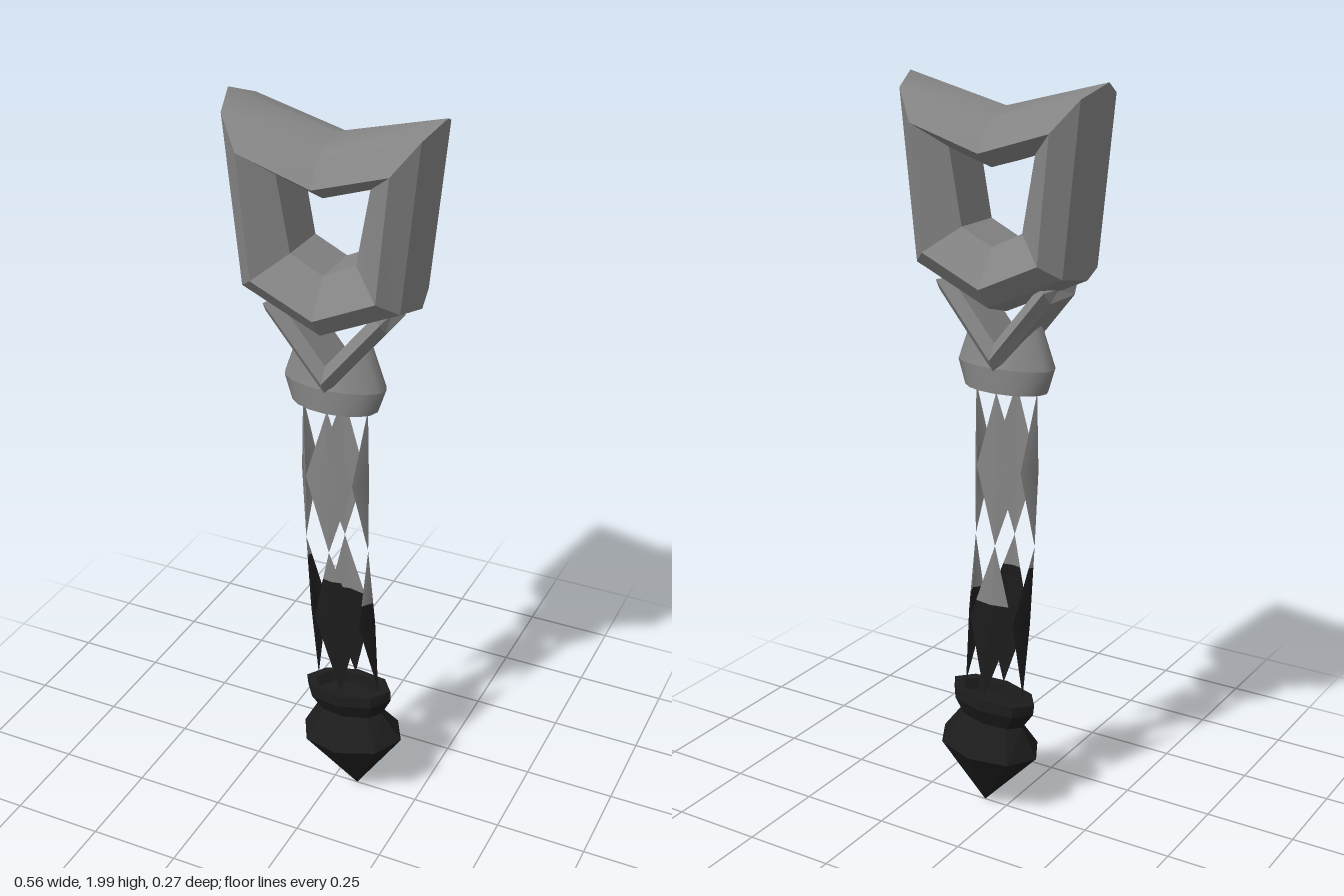
import * as THREE from 'three';
import { mergeGeometries } from 'three/addons/utils/BufferGeometryUtils.js';

const steel = new THREE.MeshStandardMaterial({ color: 0x858585, side: THREE.DoubleSide });
steel.name = 'steel grey';
const black = new THREE.MeshStandardMaterial({ color: 0x1c1c1c, side: THREE.DoubleSide });
black.name = 'charcoal black';

// Surface through rows of [x, y, z] points; smooth inside one patch, or faceted
function patch(rows, { closed = false, flat = false } = {}) {
  const n = rows[0].length, index = [];
  for (let j = 0; j < rows.length - 1; j++) {
    for (let k = 0; k < (closed ? n : n - 1); k++) {
      const a = j * n + k, b = j * n + (k + 1) % n;
      index.push(a, b, b + n, a, b + n, a + n);
    }
  }
  let g = new THREE.BufferGeometry();
  g.setAttribute('position', new THREE.Float32BufferAttribute(rows.flat(2), 3));
  g.setIndex(index);
  g = flat ? g.toNonIndexed() : g;
  g.computeVertexNormals();
  return flat ? g : g.toNonIndexed();
}

// Elliptical ring of points; y may depend on x
function ring(rx, rz, y, n) {
  return Array.from({ length: n }, (_, i) => {
    const t = (i / n) * Math.PI * 2, x = rx * Math.cos(t);
    return [x, typeof y === 'function' ? y(x) : y, -rz * Math.sin(t)];
  });
}

function add(parent, name, geometry, material) {
  const mesh = new THREE.Mesh(geometry, material);
  mesh.name = name;
  parent.add(mesh);
  return mesh;
}

// Head: six-sided bevelled frame around a window
function frameGeometry() {
  // corner x, corner y, top notch y, lower corner x, lower corner y, bottom point y
  const contour = ([tx, ty, ny, bx, by, py], z) => [
    [tx, ty, z], [0, ny, z], [-tx, ty, z], [-bx, by, z], [0, py, z], [bx, by, z]];
  const crest = [0.28, 2, 1.93, 0.23, 1.525, 1.42];
  const shoulder = [0.253, 1.967, 1.9, 0.21, 1.54, 1.445];
  const rim = [0.195, 1.89, 1.83, 0.165, 1.575, 1.5];
  const inner = [0.122, 1.83, 1.79, 0.087, 1.637, 1.595];
  const S = z => contour(shoulder, z), R = z => contour(rim, z), I = z => contour(inner, z);
  const bands = [
    [R(-0.133), S(-0.088)],
    [S(-0.088), contour(crest, 0), S(0.088)],
    [S(0.088), R(0.133)],
    [R(0.133), I(0.07)],
    [I(0.07), I(-0.07)],
    [I(-0.07), R(-0.133)],
  ];
  const parts = [];
  for (const band of bands) {
    for (let k = 0; k < 6; k++) parts.push(patch(band.map(c => [c[k], c[(k + 1) % 6]])));
  }
  return mergeGeometries(parts);
}

// V-shaped brace with a bevelled section
function braceGeometry() {
  const section = (lower, mid, upper) => [
    [...lower, -0.06], [...mid, -0.085], [...upper, -0.06],
    [...upper, 0.06], [...mid, 0.085], [...lower, 0.06]];
  const tip = s => section([s * 0.162, 1.47], [s * 0.156, 1.5], [s * 0.127, 1.505]);
  const cap = s => Array.from({ length: 6 }, () => [s * 0.15, 1.493, 0]);
  const rows = [cap(-1), tip(-1), section([0, 1.27], [0, 1.31], [0, 1.35]), tip(1), cap(1)];
  return patch(rows, { closed: true, flat: true });
}

// Collar: hollow oval socket whose top is cut to the V of the brace
function collarGeometry() {
  const n = 16, top = x => 1.29 + 1.1 * Math.abs(x);
  const a = ring(0.118, 0.065, 1.22, n), b = ring(0.14, 0.065, 1.285, n), c = ring(0.1, 0.055, top, n);
  const bands = [
    [a, b], [b, c],
    [c, ring(0, 0, 1.29, n)],
    [ring(0.1, 0.05, 1.285, n), ring(0.095, 0.048, 1.22, n)],
    [ring(0.095, 0.048, 1.22, n), a],
  ];
  return mergeGeometries(bands.map(r => patch(r, { closed: true })));
}

// One grip diamond, split at height cut into an upper and a lower piece
function diamond(side, yTop, yBottom, sway, cut) {
  const yMid = (yTop + yBottom) / 2;
  const corner = (i, y, cx) => {
    const [sx, sz] = [[1, -1], [1, 1], [-1, 1], [-1, -1]][i % 4];
    return [cx + sx * 0.066, y, sz * 0.04];
  };
  const centre = (y, cx, bulge) => {
    const [dx, dz] = [[1, 0], [0, 1], [-1, 0], [0, -1]][side];
    return [cx + dx * (0.091 + bulge), y, dz * (0.05 + bulge / 2)];
  };
  const top = centre(yTop, sway[0], 0), bottom = centre(yBottom, sway[2], 0);
  const middle = [corner(side + 1, yMid, sway[1]), centre(yMid, sway[1], 0.005), corner(side, yMid, sway[1])];
  const f = cut ? (yTop - cut) / (yTop - yMid) : 1;
  const cutRow = middle.map(p => p.map((v, i) => top[i] + (v - top[i]) * f));
  const upper = [[top, top, top], cutRow], lower = [[bottom, bottom, bottom]];
  if (!cut) return [patch([...lower, middle, upper[0]].map(r => [...r].reverse()).reverse())];
  return [patch(upper.reverse().map(r => [...r].reverse()).reverse()),
    patch([cutRow, middle, lower[0]].map(r => [...r].reverse()))];
}

// Pommel: rimmed neck and faceted spike
function pommelGeometry() {
  const n = 8;
  const rows = [
    ring(0, 0, -0.346, n), ring(0.149, 0.115, -0.16, n), ring(0.097, 0.05, -0.08, n),
    ring(0.127, 0.074, -0.03, n), ring(0.128, 0.07, 0, n),
    ring(0.1, 0.05, 0, n), ring(0.09, 0.045, -0.03, n), ring(0, 0, -0.03, n)];
  return patch(rows, { closed: true, flat: true });
}

export function createModel() {
  const model = new THREE.Group();
  model.name = 'ornateHandle';

  add(model, 'headFrame', frameGeometry(), steel);
  add(model, 'brace', braceGeometry(), steel);
  add(model, 'collar', collarGeometry(), steel);

  // Grip: two rows of four diamonds, the lower one swaying sideways
  const grip = new THREE.Group();
  grip.name = 'grip';
  model.add(grip);
  const cuts = [0.64, 0.71, 0.74, 0.63];
  const greys = [], darks = [];
  for (let side = 0; side < 4; side++) {
    greys.push(diamond(side, 1.22, 0.8, [0, 0, 0.005])[0]);
    const [upper, lower] = diamond(side, 0.8, 0.355, [0.005, 0.023, 0.04], cuts[side]);
    greys.push(upper);
    darks.push(lower);
  }
  add(grip, 'gripDiamonds', mergeGeometries(greys), steel);
  add(grip, 'gripDarkEnds', mergeGeometries(darks), black);

  const pommel = add(model, 'pommel', pommelGeometry(), black);
  pommel.position.set(0.04, 0.35, 0);
  pommel.rotation.z = THREE.MathUtils.degToRad(5);
  return model;
}
